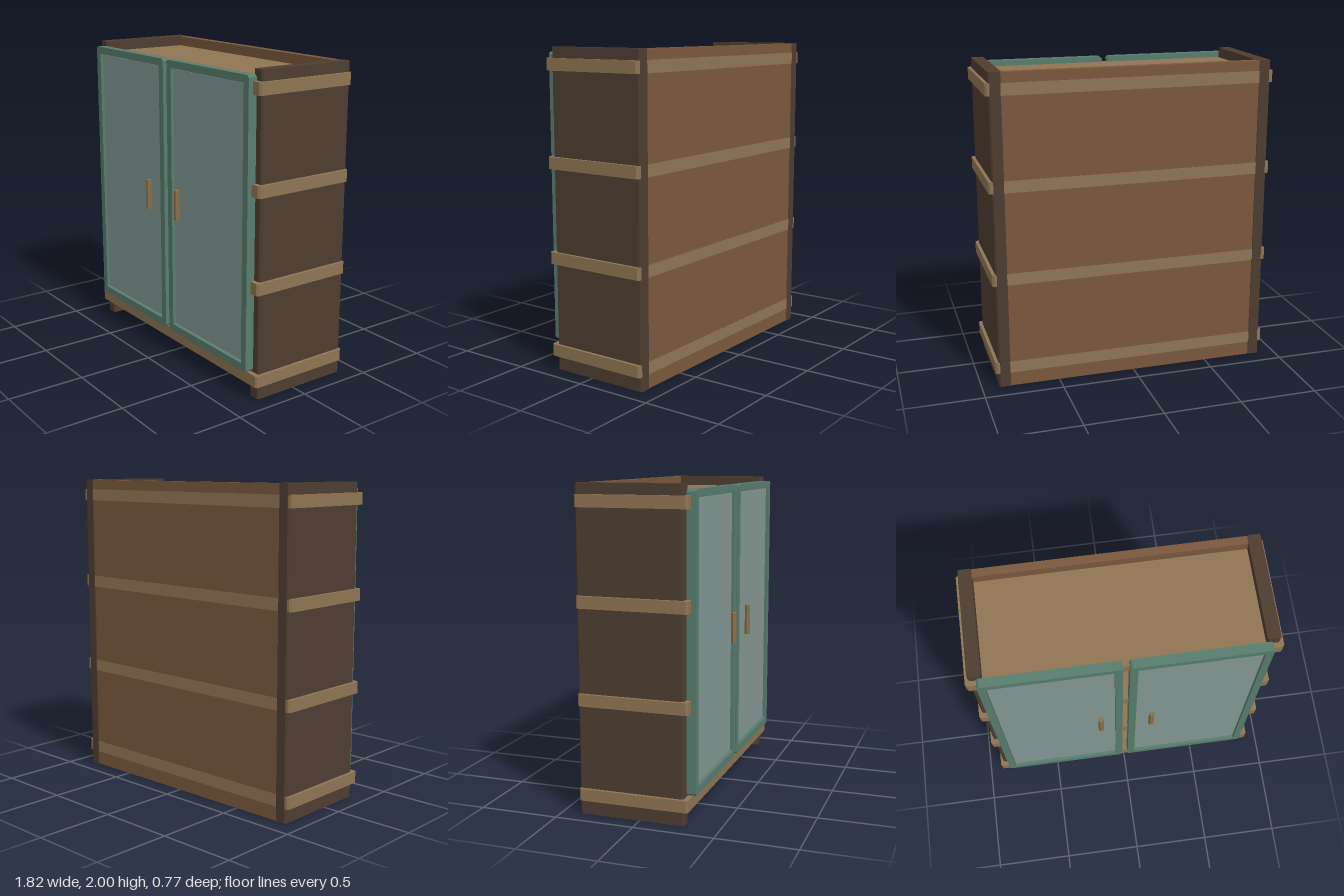
import * as THREE from 'three';

const mat = (color) => new THREE.MeshStandardMaterial({ color, flatShading: true });

// Rectangle with chamfered corners, c = chamfer size
function chamferRect(path, x0, y0, x1, y1, c) {
  const pts = [[x0 + c, y0], [x1 - c, y0], [x1, y0 + c], [x1, y1 - c],
    [x1 - c, y1], [x0 + c, y1], [x0, y1 - c], [x0, y0 + c]];
  path.setFromPoints(pts.map(([x, y]) => new THREE.Vector2(x, y)));
  return path;
}

// Upright slab with chamfered vertical edges
function slab(x0, x1, y0, y1, z0, z1, c) {
  const shape = chamferRect(new THREE.Shape(), x0, -z1, x1, -z0, c);
  const geo = new THREE.ExtrudeGeometry(shape, { depth: y1 - y0, bevelEnabled: false });
  return geo.rotateX(-Math.PI / 2).translate(0, y0, 0);
}

export function createModel() {
  const group = new THREE.Group();
  const post = mat(0x4e3d31), shelf = mat(0x8f7553), back = mat(0x7a583c);
  const frame = mat(0x587d6f), panel = mat(0x849994), grip = mat(0x8f7046);
  const add = (name, geo, material, parent = group) => {
    const mesh = new THREE.Mesh(geo, material);
    mesh.name = name;
    parent.add(mesh);
    return mesh;
  };

  // Carcass: back board and four shelves that run through the sides
  add('backBoard', new THREE.BoxGeometry(1.64, 1.998, 0.053).translate(0, 0.999, -0.3545), back);
  [0.09, 0.68, 1.27, 1.86].forEach((y, i) =>
    add('shelf' + (i + 1), slab(-0.91, 0.91, y, y + 0.075, -0.383, 0.311, 0.012), shelf));

  for (const s of [1, -1]) {
    const side = s > 0 ? 'left' : 'right';
    const x0 = s > 0 ? 0.81 : -0.89;
    add(side + 'SidePanel', slab(x0, x0 + 0.08, 0, 2, -0.385, 0.28, 0.01), post);

    // Door: frame, recessed panel and hexagonal handle
    const door = new THREE.Group();
    door.name = side + 'Door';
    group.add(door);
    const d0 = s > 0 ? 0.02 : -0.845;
    const shape = chamferRect(new THREE.Shape(), d0, 0.175, d0 + 0.825, 1.97, 0.014);
    shape.holes.push(chamferRect(new THREE.Path(), d0 + 0.047, 0.224, d0 + 0.778, 1.923, 0.002));
    add(side + 'DoorFrame',
      new THREE.ExtrudeGeometry(shape, { depth: 0.057, bevelEnabled: false }).translate(0, 0, 0.284), frame, door);
    add(side + 'DoorPanel',
      new THREE.BoxGeometry(0.731, 1.687, 0.02).translate(d0 + 0.4125, 1.0735, 0.311), panel, door);
    add(side + 'Handle',
      new THREE.CylinderGeometry(0.018, 0.018, 0.195, 6).rotateY(Math.PI / 6)
        .translate(s * 0.163, 1.0725, 0.368), grip, door);
  }
  return group;
}
